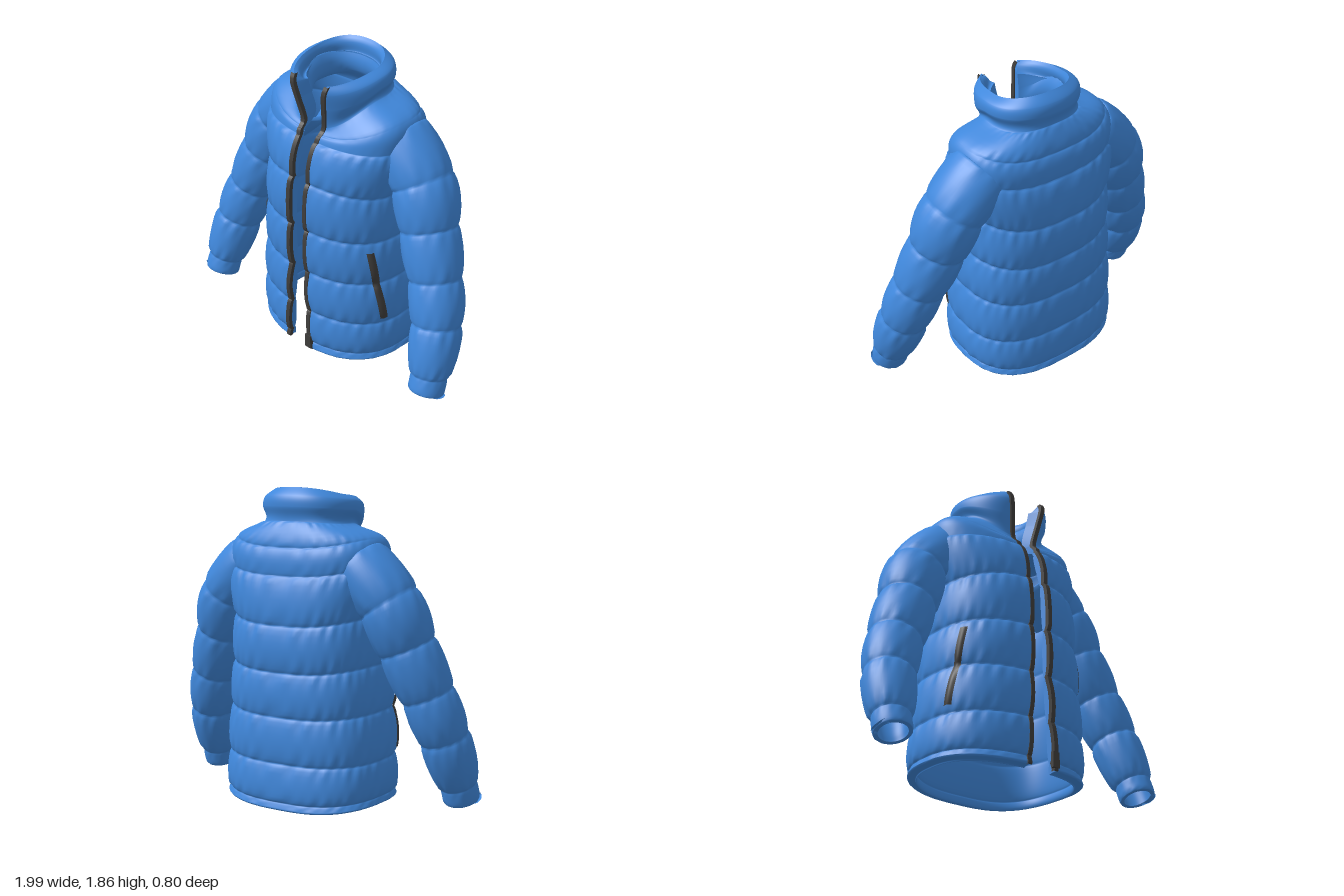
import * as THREE from 'three';
import { toCreasedNormals } from 'three/addons/utils/BufferGeometryUtils.js';

const V3 = THREE.Vector3;
const { clamp, lerp, smoothstep } = THREE.MathUtils;
const spow = (a, p) => Math.sign(a) * Math.abs(a) ** p;

// Smooth interpolation through rows of numbers, one row per quilting seam
function spline(rows, v) {
  const last = rows.length - 1;
  v = clamp(v, 0, last);
  const i = Math.min(Math.floor(v), last - 1), t = v - i;
  const [a, b, c, d] = [i - 1, i, i + 1, i + 2].map(k => rows[clamp(k, 0, last)]);
  return b.map((q, k) => q + 0.5 * t * (c[k] - a[k] + t * (2 * a[k] - 5 * q + 4 * c[k] - d[k]
    + t * (3 * (q - c[k]) + d[k] - a[k]))));
}

// Surface through a grid of points; either direction may wrap round
function grid(point, ni, nj, wrapI, wrapJ) {
  const pos = [], index = [];
  for (let i = 0; i < ni; i++) for (let j = 0; j < nj; j++) pos.push(...point(i, j).toArray());
  for (let i = 0; i < (wrapI ? ni : ni - 1); i++) {
    for (let j = 0; j < (wrapJ ? nj : nj - 1); j++) {
      const i2 = (i + 1) % ni, j2 = (j + 1) % nj;
      const a = i * nj + j, b = i * nj + j2, c = i2 * nj + j2, d = i2 * nj + j;
      index.push(a, b, c, a, c, d);
    }
  }
  const g = new THREE.BufferGeometry();
  g.setAttribute('position', new THREE.Float32BufferAttribute(pos, 3));
  g.setIndex(index);
  g.computeVertexNormals();
  return g;
}

function normalAt(surface, u, v) {
  const e = 0.002;
  const du = surface(u + e, v).sub(surface(u - e, v));
  const dv = surface(u, v + e).sub(surface(u, v - e));
  return du.cross(dv).normalize();
}
const lift = (surface, u, v, h) => surface(u, v).addScaledVector(normalAt(surface, u, v), h);

// Padded quilting: round between seams, with small gathers beside each seam
const bulge = v => Math.max(0, Math.sin(Math.PI * (v - Math.floor(v))));
function quilt(puffs, gather, freq) {
  return (u, v) => {
    const i = Math.min(Math.floor(v), puffs.length - 1);
    const s = bulge(v), a = u * Math.PI * 2 * freq;
    const folds = Math.sin(a + 2 * i) + Math.sin(a * 0.62 + 5 * i) * 0.8;
    return puffs[i] * (s ** 0.55 + gather * folds * s * (1 - s) ** 2);
  };
}

// Rows crowd towards the seams so that the creases stay crisp
function seamSteps(segments, per) {
  const out = [];
  for (let i = 0; i < segments; i++)
    for (let k = 0; k < per; k++) out.push(i + 0.5 - 0.5 * Math.cos(Math.PI * k / per));
  return [...out, segments];
}

// Outer skin, lining and the rims joining them
function shell(surface, puff, wall, steps, nu, round) {
  const n = steps.length;
  return grid((i, j) => {
    const outer = i < n, v = outer ? steps[i] : steps[2 * n - 1 - i];
    const u = round ? j / nu : j / (nu - 1);
    return lift(surface, u, v, outer ? puff(u, v) : -wall(v));
  }, 2 * n, nu, true, round);
}

// Torso and collar rows: front y, side y, back y, half width, front z, back z
const BODY = [
  [0.03, 0.05, 0.01, 0.495, 0.39, -0.375],
  [0.08, 0.09, 0.055, 0.49, 0.385, -0.37],
  [0.31, 0.30, 0.28, 0.485, 0.385, -0.36],
  [0.585, 0.58, 0.55, 0.465, 0.38, -0.355],
  [0.87, 0.85, 0.81, 0.445, 0.38, -0.355],
  [1.18, 1.13, 1.08, 0.435, 0.362, -0.355],
  [1.42, 1.42, 1.36, 0.48, 0.298, -0.325],
  [1.46, 1.575, 1.52, 0.45, 0.272, -0.30],
  [1.49, 1.65, 1.665, 0.268, 0.255, -0.245],
  [1.62, 1.73, 1.75, 0.288, 0.285, -0.262],
  [1.72, 1.785, 1.81, 0.276, 0.312, -0.252],
  [1.77, 1.815, 1.858, 0.222, 0.315, -0.205],
];
const TOP = BODY.length - 1;
const quilted = quilt([0.012, 0.025, 0.027, 0.027, 0.028, 0.027, 0.016, 0.016, 0, 0, 0], 0.9, 34);
// The yoke is smooth in front and quilted behind
const bodyPuff = (u, v) => quilted(u, v)
  * (v > 6 ? 0.12 + 0.88 * smoothstep(Math.min(u, 1 - u), 0.24, 0.38) : 1);
const bodyWall = v => (lerp(0.035, 0.092, smoothstep(v, 7.2, 8.4)) + (v < 7 ? 0.012 * bulge(v) ** 0.55 : 0))
  * (0.2 + 0.8 * Math.sqrt(clamp((TOP - v) / 0.9, 0, 1)));

// Half width of the open front by height
function gap(y) {
  if (y < 0.6) return 0.095 - 0.03 * y / 0.6;
  if (y < 1.4) return 0.065;
  return 0.065 + 0.06 * clamp((y - 1.4) / 0.36, 0, 1);
}

// u runs from the left front edge, round the back, to the right front edge
function bodySurface(u, v) {
  const [yF, yS, yB, hw, zF, zB] = spline(BODY, v);
  const collar = smoothstep(v, 7.5, 9);
  const pF = lerp(0.83, 0.92, collar), pB = lerp(0.72, 0.88, collar);
  const start = Math.asin((gap(yF) / hw) ** (1 / pF));
  const a = start + u * (2 * Math.PI - 2 * start);
  const s = Math.sin(a), c = Math.cos(a), p = c > 0 ? pF : pB;
  return new V3(hw * spow(s, p), yS + ((c > 0 ? yF : yB) - yS) * Math.abs(c) ** lerp(2, 1.15, collar),
    (c > 0 ? zF : -zB) * spow(c, p));
}

// Sleeve rows: centre x, y, z, radius across and radius front to back
const SLEEVE = [
  [0.345, 1.435, -0.065, 0.167, 0.18],
  [0.55, 1.218, -0.055, 0.168, 0.182],
  [0.645, 0.97, -0.012, 0.158, 0.163],
  [0.75, 0.70, 0.042, 0.146, 0.146],
  [0.825, 0.45, 0.108, 0.135, 0.135],
  [0.868, 0.165, 0.207, 0.104, 0.104],
  [0.872, 0.07, 0.239, 0.10, 0.10],
];
const sleevePuff = quilt([0.018, 0.022, 0.022, 0.02, 0.026, 0.008], 0.9, 13);

function sleeveSurface(u, v) {
  const [x, y, z, r, rz] = spline(SLEEVE, v);
  const at = w => new V3(...spline(SLEEVE, w).slice(0, 3));
  const along = at(v + 0.02).sub(at(v - 0.02)).normalize();
  const side = new V3().crossVectors(along, new V3(0, 0, 1)).normalize();
  const fore = new V3().crossVectors(along, side);
  const a = u * Math.PI * 2;
  return new V3(x, y, z).addScaledVector(side, r * Math.cos(a)).addScaledVector(fore, rz * Math.sin(a));
}
const mirrored = surface => (u, v) => surface(1 - u, v).multiply(new V3(-1, 1, 1));

export function createModel() {
  const blue = new THREE.MeshStandardMaterial({ color: 0x4088dc });
  const charcoal = new THREE.MeshStandardMaterial({ color: 0x403e3c });
  blue.name = 'blue fabric';
  charcoal.name = 'charcoal zip';
  const model = new THREE.Group();
  model.name = 'pufferJacket';
  const add = (name, geometry, material) => {
    const mesh = new THREE.Mesh(geometry, material);
    mesh.name = name;
    model.add(mesh);
    return mesh;
  };

  const steps = seamSteps(TOP, 10);
  add('bodyAndCollar', shell(bodySurface, bodyPuff, bodyWall, steps, 160, false), blue);

  for (const [label, m] of [['left', 1], ['right', -1]]) {
    // Sleeve with gathered cuff
    const arm = m > 0 ? sleeveSurface : mirrored(sleeveSurface);
    add(label + 'Sleeve', shell(arm, sleevePuff, () => 0.02, seamSteps(SLEEVE.length - 1, 9), 64, true), blue);

    // Fabric closing the front edge between skin and lining
    const u0 = m > 0 ? 0 : 1;
    add(label + 'FrontEdge', grid((i, j) => {
      const v = steps[i], outer = (j === 1) === (m > 0);
      return lift(bodySurface, u0, v, outer ? bodyPuff(u0, v) : -bodyWall(v));
    }, steps.length, 2, false, false), blue);

    // Zip tape along the outer corner of the front edge
    const corners = [[-0.014, 0.007], [0.014, 0.007], [0.014, -0.018], [-0.014, -0.018]];
    const tape = grid((i, j) => {
      const v = steps[i], [dx, dz] = corners[m > 0 ? j : 3 - j];
      const p = lift(bodySurface, 0, v, bodyPuff(0, v) * 0.8);
      return new V3(m * (p.x + dx), p.y, p.z + dz);
    }, steps.length, 4, false, true);
    add(label + 'FrontZip', toCreasedNormals(tape, 0.7), charcoal);

    // Slanted pocket zip lying on the side panel
    add(label + 'PocketZip', grid((i, j) => {
      const t = i / 30, v = 2.16 + 1.66 * t, across = j / 2 - 1;
      const middle = 0.183 - 0.027 * t;
      const u = (m > 0 ? middle : 1 - middle) + 0.0095 * across;
      return lift(bodySurface, u, v, bodyPuff(u, v) + 0.013 - 0.008 * Math.abs(across));
    }, 31, 5, false, false), charcoal);
  }

  // Zip slider at the foot of the left front edge
  add('zipSlider', new THREE.BoxGeometry(0.045, 0.09, 0.02), charcoal).position.set(0.085, 0.09, 0.402);
  return model;
}
